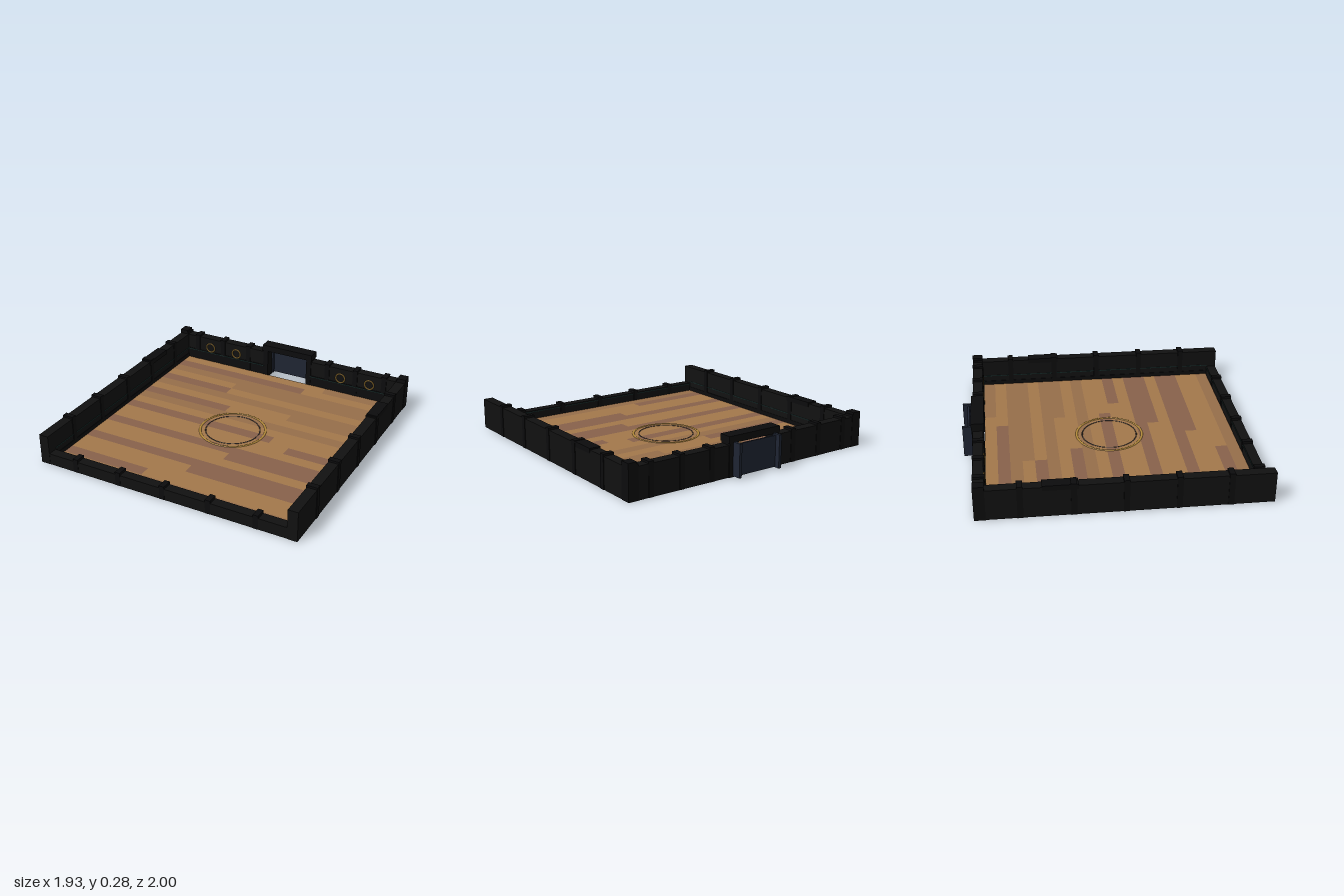
import * as THREE from 'three';

const mat = (color) => new THREE.MeshStandardMaterial({ color });
const M = {
  wall: mat(0x111111), trim: mat(0x0c0c0d), door: mat(0x1f2533), gold: mat(0xb38a3a),
  teal: mat(0x17302e), dark: mat(0x3a302c),
  A: mat(0xa3784b), B: mat(0x966e4a), C: mat(0x88624b),
};

export function createModel() {
  const root = new THREE.Group();

  const add = (parent, name, geo, material, x, y, z) => {
    const mesh = new THREE.Mesh(geo, material);
    mesh.name = name;
    mesh.position.set(x, y, z);
    parent.add(mesh);
    return mesh;
  };
  // box given by its min and max on each axis
  const box = (parent, name, material, x0, x1, y0, y1, z0, z1) =>
    add(parent, name, new THREE.BoxGeometry(x1 - x0, y1 - y0, z1 - z0), material,
      (x0 + x1) / 2, (y0 + y1) / 2, (z0 + z1) / 2);
  const group = (name) => {
    const g = new THREE.Group();
    g.name = name;
    root.add(g);
    return g;
  };

  // floor planks: left tone, x of the joint, right tone
  const floor = group('floor');
  const rows = [
    ['A', 0.34, 'B'], ['C', 0.2, 'A'], ['B'], ['A', -0.31, 'B'], ['C', -0.31, 'A'], ['B'],
    ['A', 0.28, 'B'], ['C', -0.18, 'A'], ['B'], ['A'], ['C', 0.31, 'A'], ['A', 0.46, 'C'],
    ['A'], ['C'], ['A', 0.13, 'C'], ['A'], ['C'], ['A', -0.02, 'C'], ['A'], ['C', -0.26, 'A'], ['B'],
  ];
  const pitch = 1.78 / rows.length;
  rows.forEach(([left, joint = 0.888, right], i) => {
    const z = -0.855 + i * pitch;
    box(floor, 'plank', M[left], -0.888, joint, 0.008, 0.02, z, z + pitch);
    if (right) box(floor, 'plank', M[right], joint, 0.888, 0.008, 0.02, z, z + pitch);
  });

  // circle inlaid in the middle of the floor
  const outerRing = add(floor, 'floorRing', new THREE.TorusGeometry(0.235, 0.01, 8, 64), M.gold, 0, 0.015, 0.035);
  const innerRing = add(floor, 'innerFloorRing', new THREE.TorusGeometry(0.195, 0.006, 6, 64), M.dark, 0, 0.017, 0.035);
  outerRing.rotation.x = innerRing.rotation.x = Math.PI / 2;

  // side walls with posts, a rail cap and a low baseboard
  for (const s of [-1, 1]) {
    const wall = group(s > 0 ? 'leftWall' : 'rightWall');
    const slab = (name, m, a, b, y0, y1, z0, z1) =>
      box(wall, name, m, Math.min(s * a, s * b), Math.max(s * a, s * b), y0, y1, z0, z1);
    slab('sidePanel', M.wall, 0.89, 0.96, 0, 0.215, -0.93, 1);
    slab('sideTrimLine', M.teal, 0.887, 0.89, 0.091, 0.096, -0.86, 0.93);
    slab('sideBaseboard', M.trim, 0.886, 0.89, 0.02, 0.05, -0.86, 0.93);
    slab('sideRailCap', M.trim, 0.883, 0.962, 0.19, 0.225, -0.5, -0.27);
    for (const z of [-0.64, -0.3, 0.035, 0.375, 0.71])
      slab('sidePost', M.trim, 0.886, 0.964, 0, 0.23, z - 0.019, z + 0.019);
    // rear corner post with cap
    slab('cornerPost', M.trim, 0.89, 0.963, 0, 0.23, -0.932, -0.858);
    slab('cornerCap', M.trim, 0.9, 0.963, 0.23, 0.245, -0.932, -0.858);
  }

  // low front wall
  const front = group('frontWall');
  box(front, 'frontPanel', M.wall, -0.89, 0.89, 0, 0.082, 0.93, 0.998);
  box(front, 'frontTrimLine', M.teal, -0.89, 0.89, 0.07, 0.075, 0.927, 0.93);
  for (const x of [-0.675, -0.338, 0, 0.338, 0.675])
    box(front, 'frontPost', M.trim, x - 0.019, x + 0.019, 0, 0.1, 0.926, 1);

  // back wall, mirrored around the doorway
  const back = group('backWall');
  for (const s of [-1, 1]) {
    const slab = (name, m, a, b, y0, y1, z0, z1) =>
      box(back, name, m, Math.min(s * a, s * b), Math.max(s * a, s * b), y0, y1, z0, z1);
    slab('backPanel', M.wall, 0.2, 0.89, 0, 0.215, -0.93, -0.86);
    slab('backLedge', M.trim, 0.2, 0.89, 0.02, 0.1, -0.86, -0.855);
    slab('backTrimLine', M.teal, 0.2, 0.89, 0.091, 0.096, -0.855, -0.852);
    for (const x of [0.34, 0.57, 0.8])
      slab('backPost', M.trim, x - 0.019, x + 0.019, 0, 0.23, -0.933, -0.853);
    for (const x of [0.45, 0.685])
      add(back, 'wallRing', new THREE.TorusGeometry(0.036, 0.005, 8, 32), M.gold, s * x, 0.137, -0.858);
    slab('doorJamb', M.trim, 0.165, 0.205, 0, 0.23, -0.937, -0.853);
  }
  box(back, 'doorLintel', M.trim, -0.21, 0.21, 0.228, 0.275, -0.94, -0.85);

  // gate standing behind the opening
  const gate = group('gate');
  box(gate, 'gatePanel', M.door, -0.165, 0.165, 0.012, 0.225, -0.965, -0.953);
  for (const s of [-1, 1])
    box(gate, 'gatePost', M.door, s * 0.165 - 0.01, s * 0.165 + 0.01, 0.008, 0.235, -1, -0.93);

  return root;
}
